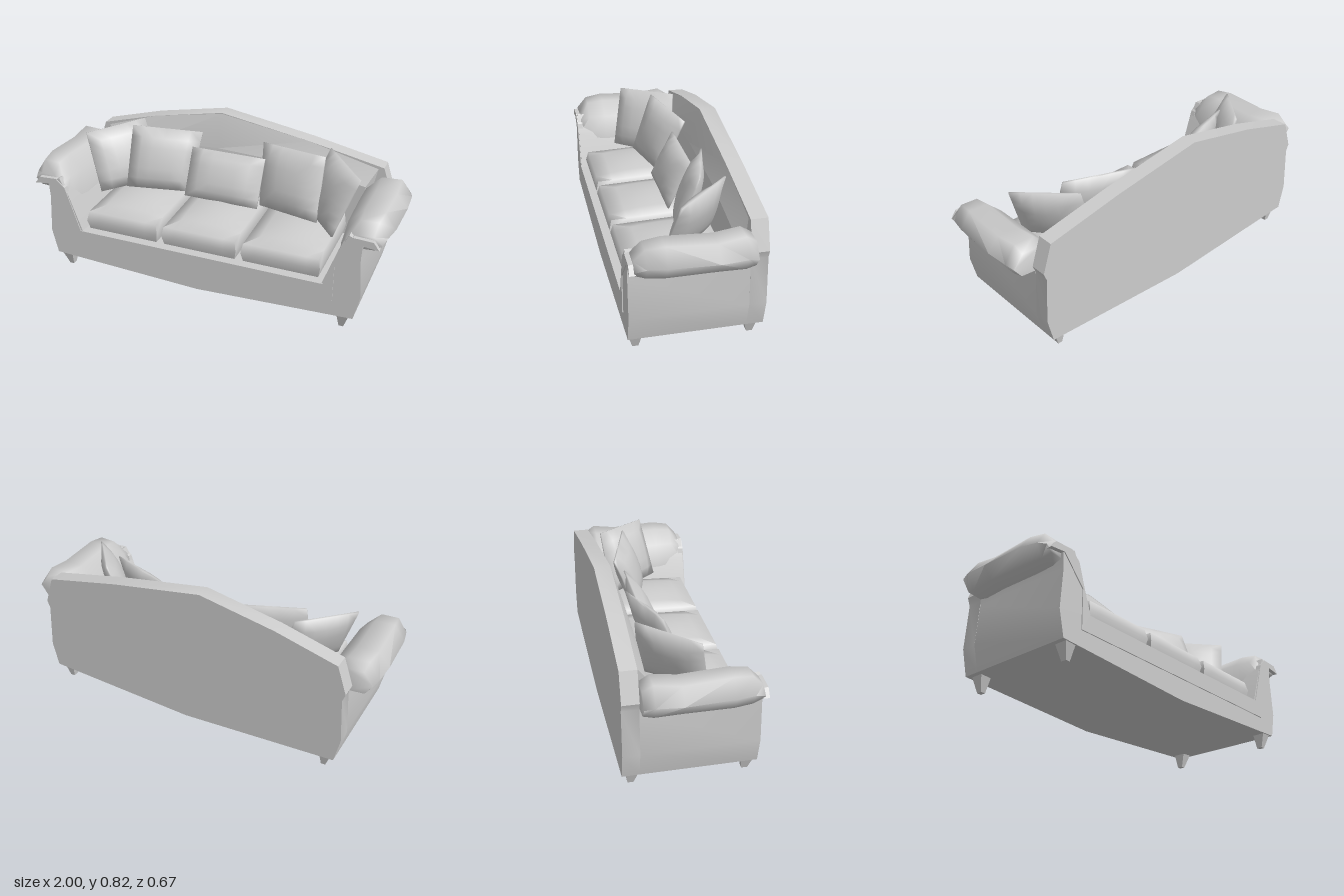
import * as THREE from 'three';
import { mergeVertices, toCreasedNormals } from 'three/addons/utils/BufferGeometryUtils.js';

const fabric = new THREE.MeshStandardMaterial({ color: 0xcccccc });
fabric.name = 'grey fabric';

// Closed solid through rings of [x, y], counter-clockwise from the front, ordered back to front
function loft(rings, zs) {
  const n = rings[0].length, pos = [], idx = [];
  rings.forEach((r, i) => r.forEach(([x, y]) => pos.push(x, y, zs[i])));
  for (let i = 0; i < rings.length - 1; i++) {
    for (let j = 0; j < n; j++) {
      const k = (j + 1) % n, a = i * n + j, b = i * n + k;
      idx.push(a, b, b + n, a, b + n, a + n);
    }
  }
  const last = (rings.length - 1) * n;
  THREE.ShapeUtils.triangulateShape(rings[0].map(p => new THREE.Vector2(...p)), [])
    .forEach(([a, b, c]) => idx.push(a, c, b));
  THREE.ShapeUtils.triangulateShape(rings[rings.length - 1].map(p => new THREE.Vector2(...p)), [])
    .forEach(([a, b, c]) => idx.push(last + a, last + b, last + c));
  const g = new THREE.BufferGeometry();
  g.setAttribute('position', new THREE.Float32BufferAttribute(pos, 3));
  g.setIndex(idx);
  return g;
}

// Mirror a solid across x = 0, keeping its faces outward
function mirrored(g) {
  const m = g.clone().scale(-1, 1, 1), a = m.index.array;
  for (let i = 0; i < a.length; i += 3) [a[i + 1], a[i + 2]] = [a[i + 2], a[i + 1]];
  return m;
}

// Symmetric outline from its +x half
const bothSides = half => [...half, ...half.map(([x, y]) => [-x, y]).reverse()];

// Move every vertex of a box by a rule and weld it
function deform(g, rule) {
  g.deleteAttribute('uv');
  g.deleteAttribute('normal');
  g = mergeVertices(g);
  const p = g.attributes.position, v = new THREE.Vector3();
  for (let i = 0; i < p.count; i++) {
    rule(v.fromBufferAttribute(p, i));
    p.setXYZ(i, v.x, v.y, v.z);
  }
  return g;
}

// Throw pillow stretched over four corners: bottom left, bottom right, top left, top right
function pillow(corners, thick) {
  const [bl, br, tl, tr] = corners.map(c => new THREE.Vector3(...c));
  const normal = br.clone().sub(bl).cross(tl.clone().sub(bl)).normalize();
  return deform(new THREE.BoxGeometry(2, 2, 2, 6, 6, 1), v => {
    const { x, y, z } = v;
    const bulge = Math.sqrt((1 - x * x) * (1 - y * y));
    const low = bl.clone().lerp(br, (x + 1) / 2), high = tl.clone().lerp(tr, (x + 1) / 2);
    v.copy(low.lerp(high, (y + 1) / 2)).addScaledVector(normal, z * (0.004 + thick * bulge));
  });
}

export function createModel() {
  const sofa = new THREE.Group();
  sofa.name = 'sofa';
  const add = (name, g, crease) => {
    const m = new THREE.Mesh(toCreasedNormals(g, crease), fabric);
    m.name = name;
    sofa.add(m);
  };
  const addPair = (name, g, crease) => {
    add(name + 'Left', g, crease);
    add(name + 'Right', mirrored(g), crease);
  };

  // Body: base with a shallow keel, seat deck and both arm walls in one section
  const body = keel => [[0, keel], ...bothSides([[0.85, 0.08], [0.88, 0.215], [0.865, 0.43],
    [0.87, 0.52], [0.8, 0.55], [0.75, 0.45], [0.68, 0.25]])];
  add('body', loft([body(0.032), body(0.042)], [-0.25, 0.33]), 0.5);

  // Flat back panel with a peaked top, running down to the keel
  const back = [[0, 0.032], [0.85, 0.08], [0.88, 0.215], [0.865, 0.46], [0.88, 0.5], [0.83, 0.65],
    [0.42, 0.735], [-0.09, 0.82], [-0.5, 0.74], [-0.83, 0.65], [-0.88, 0.5], [-0.865, 0.46],
    [-0.88, 0.215], [-0.85, 0.08]];
  add('backPanel', loft([back, back], [-0.335, -0.25]), 0.5);

  // Inner face of the back, sloping forward
  add('backRest', loft([
    [[-0.72, 0.25], [0.72, 0.25], [0.8, 0.64], [0.42, 0.735], [-0.09, 0.815], [-0.5, 0.74], [-0.8, 0.64]],
    [[-0.7, 0.25], [0.7, 0.25], [0.75, 0.55], [0.4, 0.61], [-0.09, 0.63], [-0.5, 0.61], [-0.75, 0.55]],
  ], [-0.25, -0.195]), 0.4);

  // Rolled arms, swelling along their length: z, sideways scale, height scale
  const roll = [[0.72, 0.41], [0.86, 0.46], [0.955, 0.47], [1.0, 0.54], [0.94, 0.62], [0.83, 0.615], [0.75, 0.54]];
  const stations = [[-0.25, 0.88, 0.8], [-0.2, 0.97, 1.06], [-0.07, 1, 0.9],
    [0.17, 0.95, 1.02], [0.26, 0.82, 0.92], [0.312, 0.7, 0.45]];
  addPair('armRoll', loft(
    stations.map(([, sx, sy]) => roll.map(([x, y]) => [0.86 + (x - 0.86) * sx, 0.5 + (y - 0.5) * sy])),
    stations.map(s => s[0])), 1.3);

  // Raised facing around the front of the arms and under the seat
  const facing = bothSides([[0.74, 0.16], [0.74, 0.37], [0.865, 0.51], [0.95, 0.5], [0.92, 0.54],
    [0.82, 0.545], [0.77, 0.5], [0.69, 0.25]]);
  add('frontFacing', loft([facing, facing], [0.305, 0.335]), 0.3);

  // Three crowned seat cushions with softened edges
  for (const [i, cx] of [-0.45, 0, 0.45].entries()) {
    add('seatCushion' + (i + 1), deform(new THREE.BoxGeometry(2, 2, 2, 6, 2, 6), v => {
      const { x, y, z } = v;
      const crown = (1 - x * x) * (1 - z * z);
      const rim = y === 0 ? 1 : 0.95;
      v.set(cx + x * 0.212 * rim,
        0.308 + y * 0.052 + (y > 0.5 ? 0.04 * crown + 0.015 * (1 - z) / 2 : 0),
        0.05 + z * 0.255 * rim);
    }), 1.3);
  }

  // Throw pillows: one in the middle, two angled pairs
  add('centrePillow', pillow([[-0.215, 0.4, -0.01], [0.21, 0.4, -0.01], [-0.215, 0.645, -0.13], [0.21, 0.645, -0.13]], 0.045), 1.8);
  addPair('innerPillow', pillow([[0.21, 0.4, -0.06], [0.555, 0.41, 0.03], [0.18, 0.715, -0.19], [0.555, 0.74, -0.08]], 0.05), 1.8);
  addPair('outerPillow', pillow([[0.43, 0.4, -0.17], [0.665, 0.4, 0.125], [0.55, 0.735, -0.21], [0.775, 0.712, 0.06]], 0.05), 1.8);

  // Tapered feet
  const square = (cx, cz, w, d) => [[cx - w, cz - d], [cx + w, cz - d], [cx + w, cz + d], [cx - w, cz + d]];
  for (const [name, z] of [['frontFoot', 0.29], ['backFoot', -0.28]]) {
    const foot = loft([square(0.788, -z + 0.005, 0.012, 0.015), square(0.797, -z, 0.032, 0.035)], [0, 0.085]);
    addPair(name, foot.rotateX(-Math.PI / 2), 0.3);
  }
  return sofa;
}
